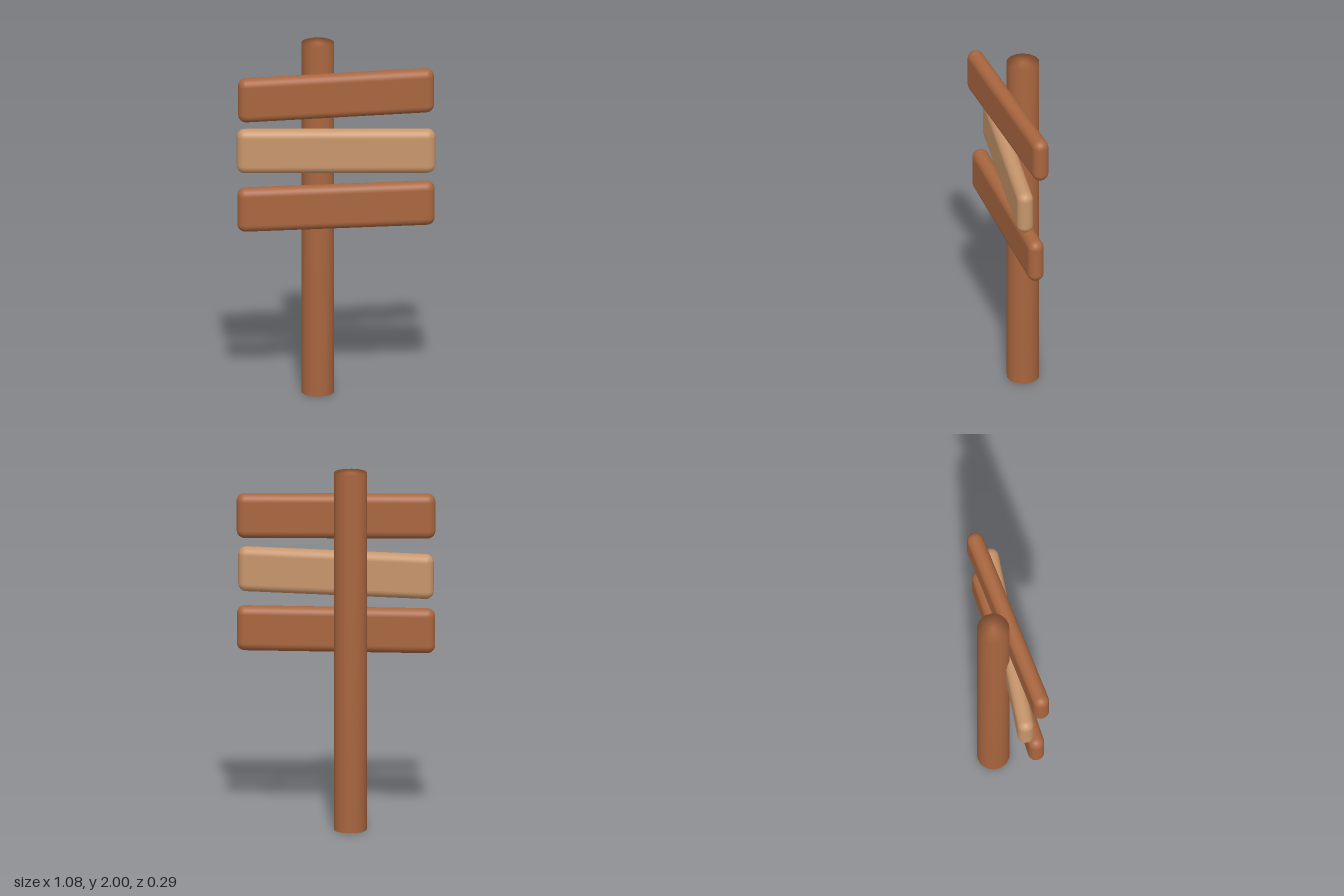
import * as THREE from 'three';
import { mergeVertices } from 'three/addons/utils/BufferGeometryUtils.js';
import { RoundedBoxGeometry } from 'three/addons/geometries/RoundedBoxGeometry.js';

export function createModel() {
  const model = new THREE.Group();
  model.name = 'signpost';

  const brownWood = new THREE.MeshStandardMaterial({ color: 0xa9663f });
  brownWood.name = 'brown wood';
  const lightWood = new THREE.MeshStandardMaterial({ color: 0xc8966c });
  lightWood.name = 'light wood';

  // Post: welded so the shading runs softly over the rims
  let postGeometry = new THREE.CylinderGeometry(0.09, 0.09, 2, 14);
  postGeometry.deleteAttribute('uv');
  postGeometry.deleteAttribute('normal');
  postGeometry = mergeVertices(postGeometry);
  postGeometry.computeVertexNormals();
  const post = new THREE.Mesh(postGeometry, brownWood);
  post.name = 'post';
  post.position.set(-0.092, 1, -0.058);
  model.add(post);

  // Boards: rounded planks, each turned a little about the vertical
  const boardGeometry = new RoundedBoxGeometry(1.085, 0.25, 0.09, 4, 0.0449);
  const boards = [
    ['topBoard', 1.73, 6, brownWood],
    ['middleBoard', 1.412, -4, lightWood],
    ['bottomBoard', 1.095, 2.8, brownWood],
  ];
  for (const [name, y, degrees, material] of boards) {
    const board = new THREE.Mesh(boardGeometry, material);
    board.name = name;
    board.position.set(0, y, 0.05);
    board.rotation.y = THREE.MathUtils.degToRad(degrees);
    model.add(board);
  }

  return model;
}
